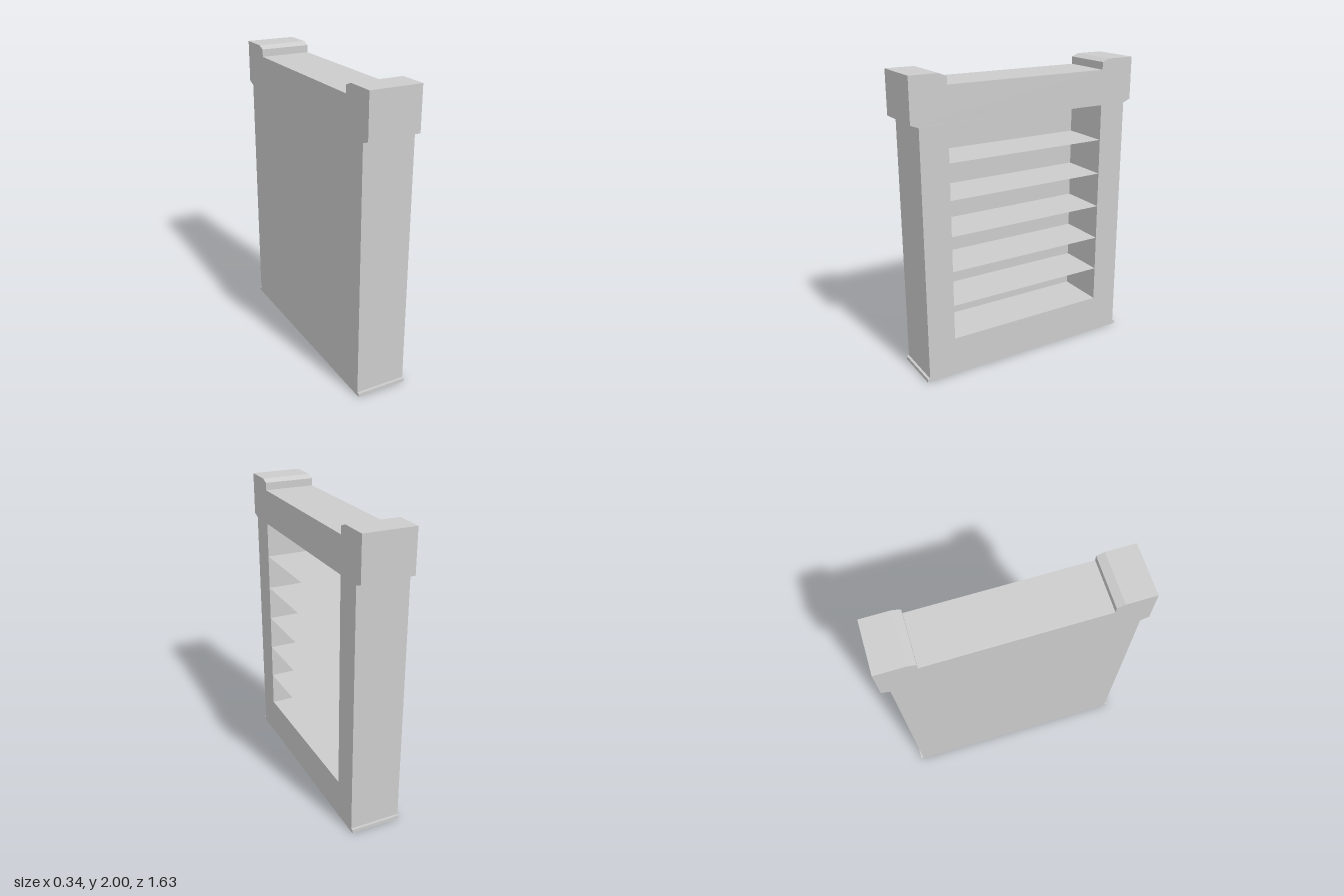
import * as THREE from 'three';

export function createModel() {
  const group = new THREE.Group();
  const stone = new THREE.MeshStandardMaterial({ color: 0xcccccc, side: THREE.DoubleSide });
  stone.name = 'pale grey';

  const halfDepth = 0.172, backThickness = 0.01;
  const openHalf = 0.57, openBottom = 0.265, openTop = 1.695;

  const add = (name, geometry) => {
    const mesh = new THREE.Mesh(geometry, stone);
    mesh.name = name;
    group.add(mesh);
    return mesh;
  };

  // Side silhouette: plinth, posts, chamfered corner caps and lower top beam
  const half = [
    [0.777, 0], [0.777, 0.025], [0.76, 0.025], [0.76, 1.695], [0.813, 1.715],
    [0.813, 2], [0.62, 2], [0.57, 1.98], [0.57, 1.93],
  ];
  const mirrored = half.map(([u, y]) => [-u, y]).reverse();
  const outline = () => new THREE.Shape([...half, ...mirrored].map(([u, y]) => new THREE.Vector2(u, y)));

  // Extrudes a silhouette across x between two planes
  const slab = (shape, x0, x1) => new THREE.ExtrudeGeometry(shape, { depth: x1 - x0, bevelEnabled: false })
    .translate(0, 0, x0).rotateY(Math.PI / 2);

  // Case with the shelf opening
  const frame = outline();
  frame.holes.push(new THREE.Path([
    [-openHalf, openBottom], [-openHalf, openTop], [openHalf, openTop], [openHalf, openBottom],
  ].map(([u, y]) => new THREE.Vector2(u, y))));
  add('caseFrame', slab(frame, -halfDepth + backThickness, halfDepth));

  // Solid back
  add('backPanel', slab(outline(), -halfDepth, -halfDepth + backThickness));

  // Five thin, evenly spaced shelves, flush with the opening
  const shelfDepth = 2 * halfDepth - backThickness;
  for (let i = 1; i <= 5; i++) {
    const shelf = add('shelf' + i, new THREE.PlaneGeometry(shelfDepth, 2 * openHalf).rotateX(-Math.PI / 2));
    shelf.position.set(backThickness / 2, openBottom + (openTop - openBottom) * i / 6, 0);
  }

  return group;
}
